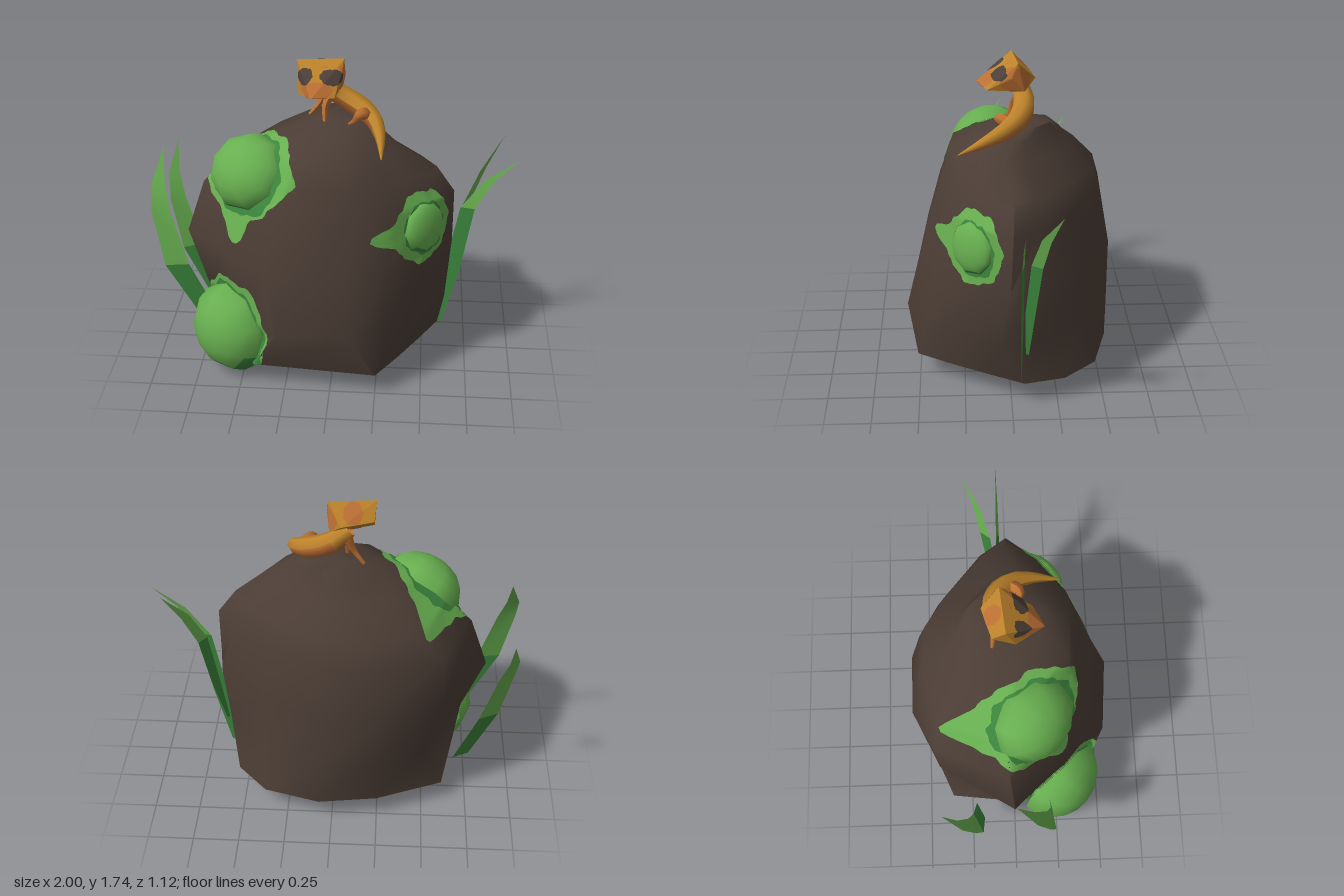
import * as THREE from 'three';
import { toCreasedNormals } from 'three/addons/utils/BufferGeometryUtils.js';
import { ConvexGeometry } from 'three/addons/geometries/ConvexGeometry.js';

const V = (x, y, z) => new THREE.Vector3(x, y, z);
const mat = (name, color) => {
  const m = new THREE.MeshStandardMaterial({ color, side: THREE.DoubleSide });
  m.name = name;
  return m;
};

export function createModel() {
  const group = new THREE.Group();
  const stone = mat('stone brown', 0x4b3d35);
  const light = mat('moss green', 0x68af50);
  const mid = mat('deep green', 0x3b853c);
  const gold = mat('gold', 0xbd832b);
  const orange = mat('orange', 0xbd7033);
  const dark = mat('dark brown', 0x4d4038);

  const add = (name, geometry, material) => {
    const mesh = new THREE.Mesh(geometry, material);
    mesh.name = name;
    group.add(mesh);
    return mesh;
  };
  const build = (points, index) => {
    const g = new THREE.BufferGeometry().setFromPoints(points);
    g.setIndex(index);
    g.computeVertexNormals();
    return g;
  };
  // Gives downward faces the second material
  const paintUnderside = (g, limit) => {
    const { position } = g.attributes, t = new THREE.Triangle(), normal = V(0, 0, 0);
    for (let i = 0; i < g.index.count; i += 3) {
      t.setFromAttributeAndIndices(position, g.index.getX(i), g.index.getX(i + 1), g.index.getX(i + 2));
      g.addGroup(i, 3, t.getNormal(normal).y < limit ? 1 : 0);
    }
    return g;
  };

  // Rock: outlines stretched to fit each height, open underneath
  const outline = [[-1, 0.07], [-0.66, -0.71], [-0.23, -1], [0.21, -1], [0.63, -0.71], [0.97, -0.21],
    [1, 0.09], [0.78, 0.5], [0.52, 0.82], [0.25, 1], [-0.36, 0.94], [-0.68, 0.55]];
  const foot = [[-0.54, -0.02], [-0.61, -0.36], [-0.25, -0.51], [0.07, -0.555], [0.375, -0.47], [0.54, -0.29],
    [0.59, -0.07], [0.48, 0.13], [0.37, 0.32], [0.25, 0.51], [-0.42, 0.45], [-0.49, 0.2]];
  const crest = [[-1, 0.07], [-0.76, -0.8], [-0.23, -1], [0.17, -0.95], [0.5, -0.64], [0.85, -0.2],
    [1, 0.12], [0.8, 0.5], [0.52, 0.82], [0.25, 1], [-0.36, 0.94], [-0.68, 0.55]];
  const rings = [ // outline, y, xMin, xMax, zMin, zMax
    [foot, 0.13, -1, 1, -1, 1], [outline, 0.38, -0.72, 0.62, -0.555, 0.565],
    [outline, 0.72, -0.84, 0.65, -0.56, 0.48], [crest, 1.02, -0.74, 0.65, -0.52, 0.4],
    [crest, 1.16, -0.6, 0.55, -0.48, 0.355], [crest, 1.29, -0.42, 0.36, -0.335, 0.315],
    [crest, 1.375, -0.23, 0.24, -0.28, 0.18], [crest, 1.43, -0.08, 0.16, -0.23, 0]];
  const n = outline.length, pts = [], idx = [];
  for (const [shape, y, x0, x1, z0, z1] of rings)
    for (const [u, w] of shape)
      pts.push(V((x0 + x1) / 2 + u * (x1 - x0) / 2, y, (z0 + z1) / 2 + w * (z1 - z0) / 2));
  for (let i = 0; i < rings.length - 1; i++)
    for (let j = 0; j < n; j++) {
      const a = i * n + j, b = i * n + (j + 1) % n;
      idx.push(a, a + n, b, b, a + n, b + n);
    }
  const top = (rings.length - 1) * n;
  for (let j = 1; j < n - 1; j++) idx.push(top, top + j + 1, top + j);
  const rock = add('rock', toCreasedNormals(build(pts, idx), 1), stone);

  // Thin ragged patch laid over a surface; lobes are [angle, length, width]
  const ray = new THREE.Raycaster();
  function patch(name, target, centre, normal, rx, ry, material, { lift = 0.006, rough = 0.03, lobes = [], hole = 0 } = {}) {
    const nn = normal.clone().normalize();
    const u = V(0, 1, 0).cross(nn).normalize(), w = nn.clone().cross(u);
    const R = 14, S = 80, p = [], f = [];
    for (let i = 0; i <= R; i++)
      for (let j = 0; j < S; j++) {
        const a = j / S * Math.PI * 2;
        let k = 1 + rough * (Math.sin(7 * a + 1) + 0.7 * Math.sin(13 * a) + 0.4 * Math.sin(23 * a));
        for (const [la, len, wid] of lobes) {
          const d = Math.atan2(Math.sin(a - la), Math.cos(a - la)) / wid;
          k += len * Math.exp(-d * d);
        }
        k *= hole + (1 - hole) * i / R;
        let hit, q;
        for (let tries = 0; !hit && tries < 30; tries++, k *= 0.94) { // shrink until it lies on the surface
          q = centre.clone().addScaledVector(u, rx * k * Math.cos(a)).addScaledVector(w, ry * k * Math.sin(a));
          q.y = Math.max(q.y, 0.135);
          ray.set(q.clone().addScaledVector(nn, 0.8), nn.clone().negate());
          hit = ray.intersectObject(target)[0];
        }
        if (hit) q.copy(hit.point);
        p.push(q.addScaledVector(nn, lift));
        if (i < R) {
          const b = i * S + j, c = i * S + (j + 1) % S;
          f.push(b, b + S, c, c, b + S, c + S);
        }
      }
    return add(name, build(p, f), material);
  }

  // Moss cushions: an open dome on a patch with a darker fringe
  const cushions = [
    { name: 'upperMoss', c: V(-0.455, 1.14, 0.1), n: V(-0.5, 0.6, 0.6), rx: 0.245, ry: 0.22, h: 0.19, spread: 1.2,
      lobes: [[-1.45, 0.5, 0.22], [2.51, 0.4, 0.28], [0.1, 0.15, 0.5]] },
    { name: 'lowerMoss', c: V(-0.55, 0.265, 0.26), n: V(-0.66, 0, 0.74), rx: 0.26, ry: 0.265, h: 0.22, spread: 1.12,
      lobes: [[0.9, 0.08, 0.5]] },
    { name: 'sideMoss', c: V(0.51, 0.9, 0.22), n: V(0.72, 0.1, 0.68), rx: 0.14, ry: 0.145, h: 0.06, spread: 1.4,
      lobes: [[Math.PI, 0.75, 0.2]] }];
  for (const { name, c, n: nrm, rx, ry, h, spread, lobes } of cushions) {
    patch(name + 'Patch', rock, c, nrm, rx * spread, ry * spread, light, { lobes });
    patch(name + 'Fringe', rock, c, nrm, rx * 1.02, ry * 1.02, mid, { lift: 0.012, lobes: [[-0.8, 0.13, 0.7]] });
    if (name === 'sideMoss') {
      ray.set(c.clone().addScaledVector(nrm, 0.8), nrm.clone().normalize().negate());
      c.copy(ray.intersectObject(rock)[0].point);
    }
    const frame = new THREE.Matrix4().lookAt(nrm, V(0, 0, 0), V(0, 1, 0)).setPosition(c);
    const dome = new THREE.SphereGeometry(1, 9, 5, 0, Math.PI * 2, 0, 1.7).rotateX(Math.PI / 2).scale(rx, ry, h);
    add(name + 'Dome', paintUnderside(dome.applyMatrix4(frame), -0.55), [light, mid]);
  }
  // Moss rim showing on the inside of the hollow rock
  const { c: lowC, n: lowN } = cushions[1];
  patch('innerMossRim', rock, lowC, lowN, 0.3, 0.29, light, { lift: -0.008, hole: 0.78 });
  patch('innerMossEdge', rock, lowC, lowN, 0.24, 0.235, mid, { lift: -0.012, hole: 0.85, rough: 0.02 });

  // Grass blades: flat strips, dark low part and light tip
  function blade(name, path, widths, across, split) {
    const dir = V(...across).normalize();
    const strip = (from, to) => {
      const p = [], f = [];
      for (let i = from; i <= to; i++) {
        for (const s of [-0.5, 0.5]) p.push(V(...path[i]).addScaledVector(dir, s * widths[i]));
        const k = (i - from) * 2;
        if (i < to) f.push(k, k + 1, k + 2, k + 1, k + 3, k + 2);
      }
      return build(p, f);
    };
    add(name + 'Base', strip(0, split), mid);
    add(name + 'Tip', strip(split, path.length - 1), light);
  }
  blade('rightFrontBlade', [[0.6, 0.14, -0.05], [0.66, 0.5, -0.05], [0.73, 0.89, -0.05], [0.85, 1.07, -0.05], [1, 1.19, -0.05]],
    [0.02, 0.09, 0.08, 0.05, 0], [1, 0, 0.22], 2);
  blade('rightBackBlade', [[0.62, 0.33, -0.08], [0.68, 0.6, -0.09], [0.73, 0.9, -0.12], [0.81, 1.08, -0.16], [0.92, 1.25, -0.235]],
    [0.02, 0.06, 0.07, 0.055, 0], [0.6, 0, -0.8], 2);
  blade('leftFrontBlade', [[-0.7, 0.28, 0.2], [-0.87, 0.61, 0.21], [-0.95, 0.92, 0.17], [-0.97, 1.06, 0.1], [-0.95, 1.23, 0]],
    [0.1, 0.13, 0.1, 0.07, 0], [1, 0, -0.15], 1);
  blade('leftBackBlade', [[-0.72, 0.2, -0.2], [-0.86, 0.5, -0.21], [-0.94, 0.8, -0.24], [-0.965, 0.94, -0.3], [-0.95, 1.1, -0.39]],
    [0.1, 0.12, 0.09, 0.06, 0], [0.9, 0, -0.45], 1);

  // Small animal: tapered tubes for body, tail and limbs
  function limb(name, path, radii, materials, sides = 7) {
    const curve = new THREE.CatmullRomCurve3(path.map(p => V(...p)));
    const steps = 12, g = new THREE.TubeGeometry(curve, steps, 1, sides);
    const pos = g.attributes.position;
    for (let i = 0; i < pos.count; i++) {
      const t = Math.floor(i / (sides + 1)) / steps, c = curve.getPointAt(t);
      const k = t * (radii.length - 1), a = Math.min(Math.floor(k), radii.length - 2);
      const r = THREE.MathUtils.lerp(radii[a], radii[a + 1], k - a);
      const q = V(0, 0, 0).fromBufferAttribute(pos, i).sub(c).multiplyScalar(r).add(c);
      pos.setXYZ(i, q.x, q.y, q.z);
    }
    g.computeVertexNormals();
    return add(name, paintUnderside(g, 0), materials);
  }
  limb('body', [[-0.07, 1.6, -0.07], [0.02, 1.53, -0.09], [0.12, 1.48, -0.06], [0.2, 1.44, 0.01], [0.24, 1.39, 0.12], [0.255, 1.32, 0.27]],
    [0.045, 0.06, 0.06, 0.045, 0.025, 0.004], [gold, orange]);
  limb('leftArm', [[-0.03, 1.55, -0.06], [-0.06, 1.49, -0.03], [-0.06, 1.41, 0]], [0.03, 0.018, 0.012], [orange, orange], 5);
  limb('rightArm', [[-0.06, 1.56, -0.09], [-0.09, 1.49, -0.09], [-0.15, 1.41, -0.1]], [0.03, 0.016, 0.01], [orange, orange], 5);
  limb('hindLeg', [[0.17, 1.46, 0], [0.13, 1.48, 0.05], [0.1, 1.44, 0.05], [0.07, 1.42, 0.05]], [0.035, 0.033, 0.018, 0.006], [orange, orange], 6);

  // Wedge-shaped head with face markings
  const head = add('head', new ConvexGeometry([
    V(-0.21, 1.75, -0.03), V(0.04, 1.75, -0.055), V(-0.2, 1.66, -0.1), V(-0.03, 1.65, -0.15), V(0.03, 1.59, -0.09),
    V(0.045, 1.67, -0.02), V(-0.2, 1.575, 0.02), V(0, 1.59, 0.11), V(-0.12, 1.605, 0.165), V(-0.08, 1.56, 0)]), gold);
  const face = V(0, 0, 1);
  patch('muzzle', head, V(-0.1, 1.625, 0), face, 0.085, 0.04, orange, { lift: 0.003 });
  patch('cheek', head, V(0.03, 1.655, -0.04), V(1, 0, 0), 0.085, 0.07, orange, { lift: 0.003 });
  patch('rightEye', head, V(-0.16, 1.68, 0.03), V(-0.3, 0.1, 1), 0.045, 0.04, dark, { lift: 0.006 });
  patch('leftEye', head, V(-0.025, 1.675, 0.03), V(0.6, 0.2, 0.8), 0.065, 0.04, dark, { lift: 0.007 });
  patch('crown', head, V(-0.09, 1.7, -0.09), V(0, 0.7, -0.7), 0.05, 0.065, orange, { lift: 0.004 });
  patch('chin', head, V(-0.07, 1.57, 0.02), V(0.05, -1, 0.1), 0.07, 0.07, orange, { lift: 0.004 });
  return group;
}
